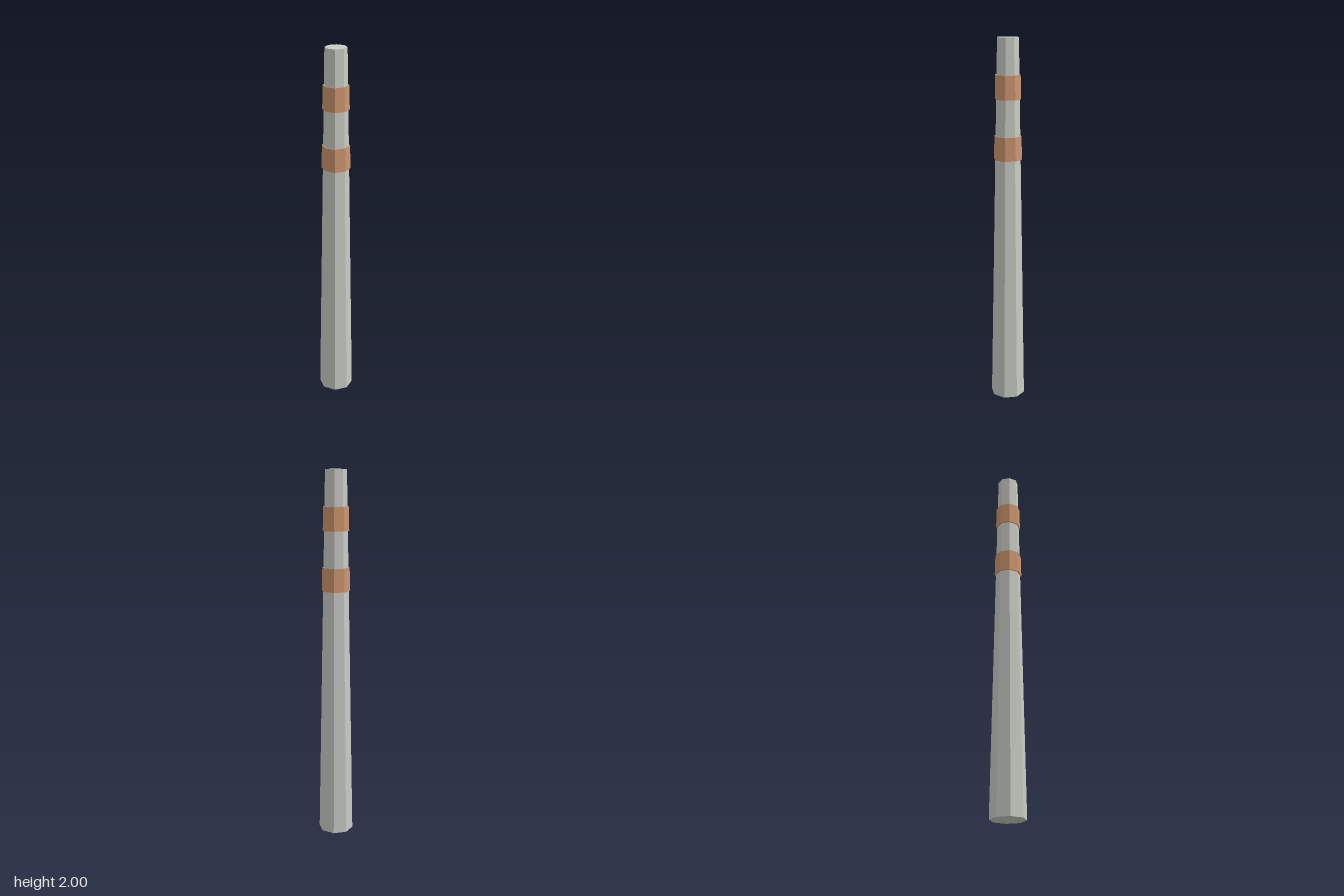
import * as THREE from 'three';

const SIDES = 8;

export function createModel() {
  const group = new THREE.Group();
  group.name = 'chimney';
  const stone = new THREE.MeshStandardMaterial({ color: 0xc8ccc4, flatShading: true });
  const copper = new THREE.MeshStandardMaterial({ color: 0xcc966f, flatShading: true });

  // Capped octagonal taper between two heights
  const taper = (name, bottomRadius, topRadius, y0, y1, material) => {
    const geometry = new THREE.CylinderGeometry(topRadius, bottomRadius, y1 - y0, SIDES);
    const mesh = new THREE.Mesh(geometry, material);
    mesh.name = name;
    mesh.position.y = (y0 + y1) / 2;
    group.add(mesh);
  };

  // Tall stack
  taper('shaft', 0.095, 0.057, 0, 2, stone);

  // Painted bands standing slightly proud of the shaft
  taper('lowerBand', 0.076, 0.073, 1.37, 1.495, copper);
  taper('upperBand', 0.07, 0.067, 1.687, 1.812, copper);

  return group;
}
